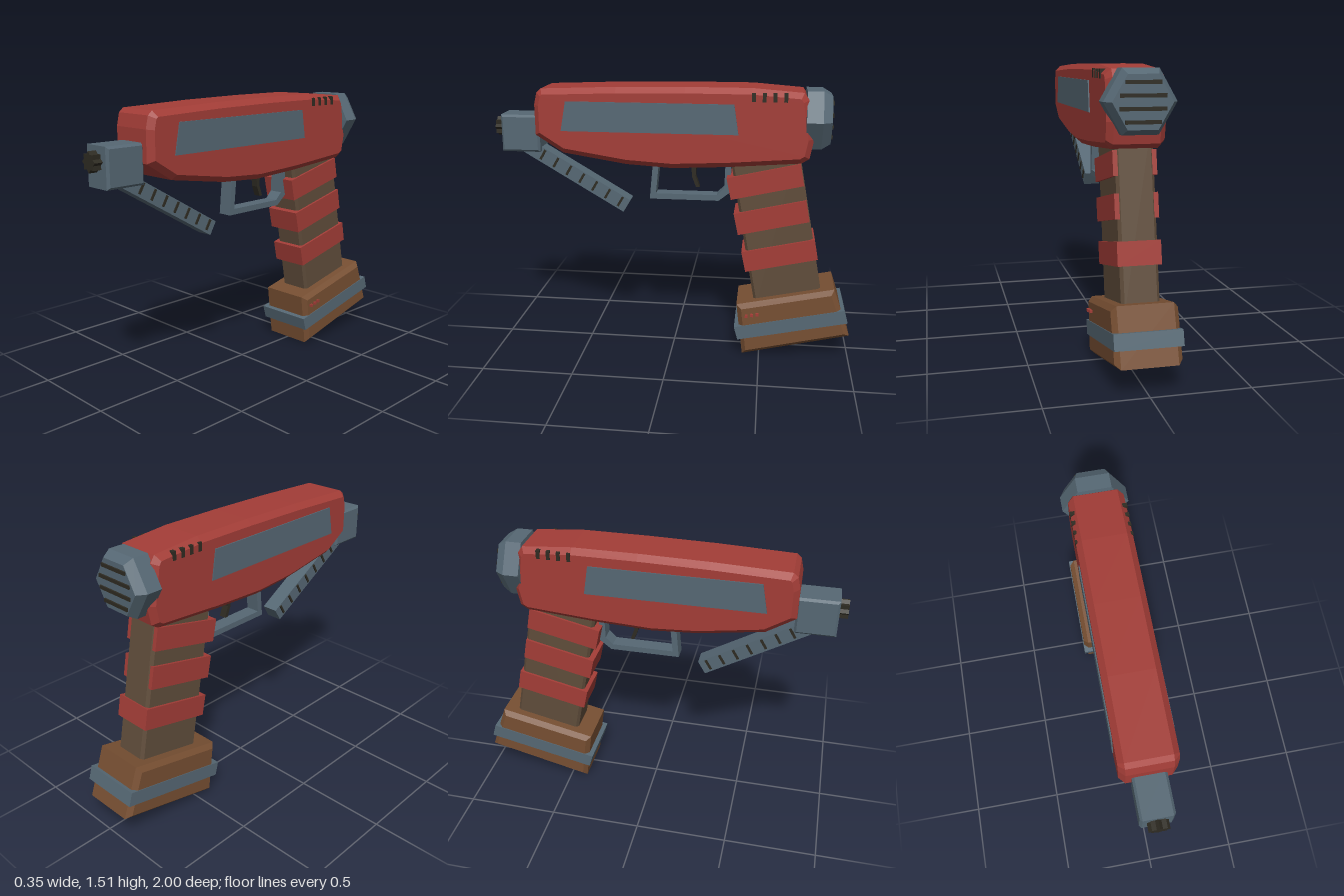
import * as THREE from 'three';

const colour = (name, hex) => {
  const m = new THREE.MeshStandardMaterial({ color: hex });
  m.name = name;
  return m;
};

export function createModel() {
  const model = new THREE.Group();
  model.name = 'powerTool';
  const red = colour('red', 0xa33d37);
  const slate = colour('slate', 0x566874);
  const brown = colour('brown', 0x774f32);
  const grip = colour('gripBrown', 0x604d3b);
  const dark = colour('charcoal', 0x2e2b22);

  const add = (name, geo, mat, x = 0, y = 0, z = 0, parent = model) => {
    const mesh = new THREE.Mesh(geo, mat);
    mesh.name = name;
    mesh.position.set(x, y, z);
    parent.add(mesh);
    return mesh;
  };

  // Side outline given as [z, y], extruded across x, with chamfered rims
  const slab = (points, width, bevel = 0) => {
    const shape = new THREE.Shape(points.map(([z, y]) => new THREE.Vector2(-z, y)));
    const geo = new THREE.ExtrudeGeometry(shape, {
      depth: width - 2 * bevel, bevelEnabled: bevel > 0, bevelSegments: 1,
      bevelSize: bevel, bevelThickness: bevel, bevelOffset: -bevel,
    });
    return geo.translate(0, 0, bevel - width / 2).rotateY(Math.PI / 2);
  };

  // Main housing
  add('housing', slab([
    [0.75, 1.40], [0.735, 1.465], [0.71, 1.487], [0.3, 1.502], [-0.07, 1.508], [-0.42, 1.508],
    [-0.69, 1.487], [-0.715, 1.45], [-0.75, 1.245], [-0.73, 1.14], [-0.69, 1.115],
    [-0.31, 1.085], [0, 1.07], [0.25, 1.085], [0.6, 1.14], [0.75, 1.235],
  ], 0.288, 0.03), red);

  // Side panels and vent slots
  const panel = slab([[0.57, 1.425], [-0.33, 1.425], [-0.355, 1.265], [0.6, 1.265]], 0.009);
  for (const s of [-1, 1]) {
    add('sidePanel', panel, slate, s * 0.1455, 0, 0);
    for (let i = 0; i < 4; i++) {
      add('sideVent', new THREE.BoxGeometry(0.03, 0.046, 0.02), dark, s * 0.132, 1.463, -0.43 - i * 0.055);
    }
  }

  // Six-sided rear cap with vent bars
  const capProfile = [[0, 0.69], [0.176, 0.705], [0.176, 0.79], [0.145, 0.838], [0, 0.838]]
    .map(([r, y]) => new THREE.Vector2(r, y));
  const cap = new THREE.LatheGeometry(capProfile, 6, Math.PI / 2).toNonIndexed();
  cap.rotateX(-Math.PI / 2).computeVertexNormals();
  add('rearCap', cap, slate, 0, 1.34, 0);
  for (let i = 0; i < 4; i++) {
    const w = i === 0 || i === 3 ? 0.17 : 0.22;
    add('rearVent', new THREE.BoxGeometry(w, 0.018, 0.02), dark, 0, 1.43 - i * 0.06, -0.836);
  }

  // Nose block and driver tip
  add('noseBlock', slab([[0.955, 1.13], [0.955, 1.335], [0.74, 1.335], [0.74, 1.13]], 0.17, 0.012), slate);
  const star = new THREE.Shape(Array.from({ length: 16 }, (_, i) => {
    const a = i * Math.PI / 8, r = i % 2 ? 0.038 : 0.052;
    return new THREE.Vector2(r * Math.cos(a), r * Math.sin(a));
  }));
  add('driverTip', new THREE.ExtrudeGeometry(star, { depth: 0.05, bevelEnabled: false }), dark, 0, 1.26, 0.95);

  // Slanted feed rail with dark ribs; local z runs toward the nose
  const rail = new THREE.Group();
  rail.name = 'feedRail';
  rail.position.set(0, 0.826, 0.265);
  rail.rotation.x = -0.534;
  model.add(rail);
  add('railBar', new THREE.BoxGeometry(0.092, 0.08, 0.66), slate, 0, 0, 0.33, rail);
  for (let i = 0; i < 7; i++) {
    add('railRib', new THREE.BoxGeometry(0.104, 0.06, 0.013), dark, 0, 0.004, 0.045 + i * 0.084, rail);
  }

  // Trigger and its guard
  add('triggerGuard', slab([
    [0.115, 1.09], [0.135, 0.873], [-0.25, 0.873], [-0.315, 0.925], [-0.315, 1.1],
    [-0.285, 1.1], [-0.28, 0.945], [-0.24, 0.905], [0.1, 0.905], [0.082, 1.09],
  ], 0.08), slate);
  add('trigger', slab([
    [-0.093, 1.09], [-0.1, 1.0], [-0.122, 0.943], [-0.142, 0.943], [-0.12, 1.005], [-0.125, 1.09],
  ], 0.04), dark);

  // Handle core
  add('handle', slab([[-0.30, 1.2], [-0.675, 1.2], [-0.838, 0.36], [-0.467, 0.28]], 0.19, 0.015), grip);

  // Slanted wraps: the lowest goes right round the back
  const front = y => -0.295 - 0.215 * (1.02 - y);
  const back = (y, out) => -0.69 - 0.194 * (1.12 - y) - out;
  [[1.02, 0.9, -0.004], [0.82, 0.7, -0.004], [0.6, 0.485, 0.01]].forEach(([top, low, out]) => {
    const rise = 0.09;
    add('handleWrap', slab([
      [front(top), top], [back(top + rise, out), top + rise],
      [back(low + rise, out), low + rise], [front(low), low],
    ], 0.216), red);
  });

  // Battery base, strap and indicator lights
  add('battery', slab([[-0.367, 0.3], [-0.903, 0.417], [-0.998, 0.144], [-0.405, 0]], 0.326, 0.025), brown);
  add('batteryStrap', slab([[-0.357, 0.171], [-0.962, 0.305], [-0.984, 0.23], [-0.378, 0.096]], 0.334), slate);
  for (let i = 0; i < 3; i++) {
    add('indicator', new THREE.BoxGeometry(0.02, 0.015, 0.016), red, 0.167, 0.244 + i * 0.0065, -0.425 - i * 0.03);
  }

  return model;
}
